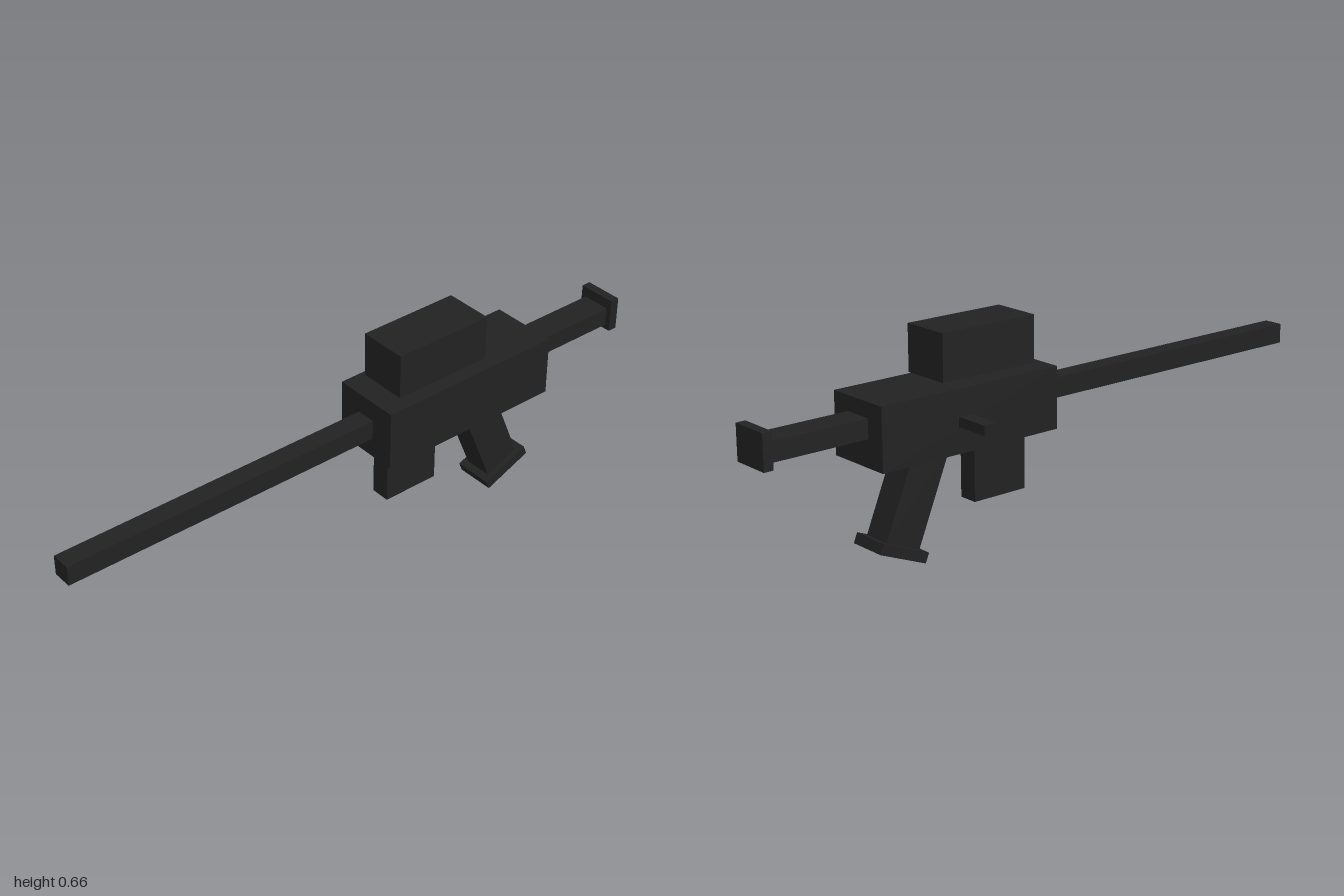
import * as THREE from 'three';

export function createModel() {
  const model = new THREE.Group();
  const black = new THREE.MeshStandardMaterial({ color: 0x222222 });
  black.name = 'matte black';
  const axisX = 0.054; // the body sits beside the middle because of the side handle

  // Box from its lower and upper bounds on each axis
  function block(name, [x0, x1], [y0, y1], [z0, z1], parent = model) {
    const mesh = new THREE.Mesh(new THREE.BoxGeometry(x1 - x0, y1 - y0, z1 - z0), black);
    mesh.position.set((x0 + x1) / 2, (y0 + y1) / 2, (z0 + z1) / 2);
    mesh.name = name;
    parent.add(mesh);
    return mesh;
  }
  // x bounds of a part centred on the body
  const wide = (w) => [axisX - w / 2, axisX + w / 2];

  // Body and barrel
  block('receiver', wide(0.218), [0.315, 0.503], [-0.656, -0.034]);
  block('barrel', wide(0.062), [0.378, 0.44], [-0.034, 1]);

  // Sight on its mount
  block('scopeMount', wide(0.062), [0.503, 0.518], [-0.373, -0.14]);
  block('scope', wide(0.156), [0.518, 0.659], [-0.423, -0.094]);

  // Stock
  block('stockTube', wide(0.092), [0.398, 0.457], [-0.97, -0.656]);
  block('buttPlate', wide(0.125), [0.383, 0.49], [-1, -0.97]);

  // Magazine and side handle
  block('magazine', wide(0.062), [0.127, 0.315], [-0.279, -0.092]);
  block('sideHandle', [-0.165, -0.055], [0.393, 0.423], [-0.394, -0.35]);

  // Raked grip with its foot plate
  const grip = new THREE.Group();
  grip.name = 'grip';
  grip.position.set(axisX, 0.0473, -0.555);
  grip.rotation.x = Math.PI / 8;
  block('gripHandle', [-0.046, 0.046], [0.016, 0.32], [-0.0605, 0.0605], grip);
  block('gripFoot', [-0.0625, 0.0625], [-0.016, 0.016], [-0.084, 0.084], grip);
  model.add(grip);

  return model;
}
